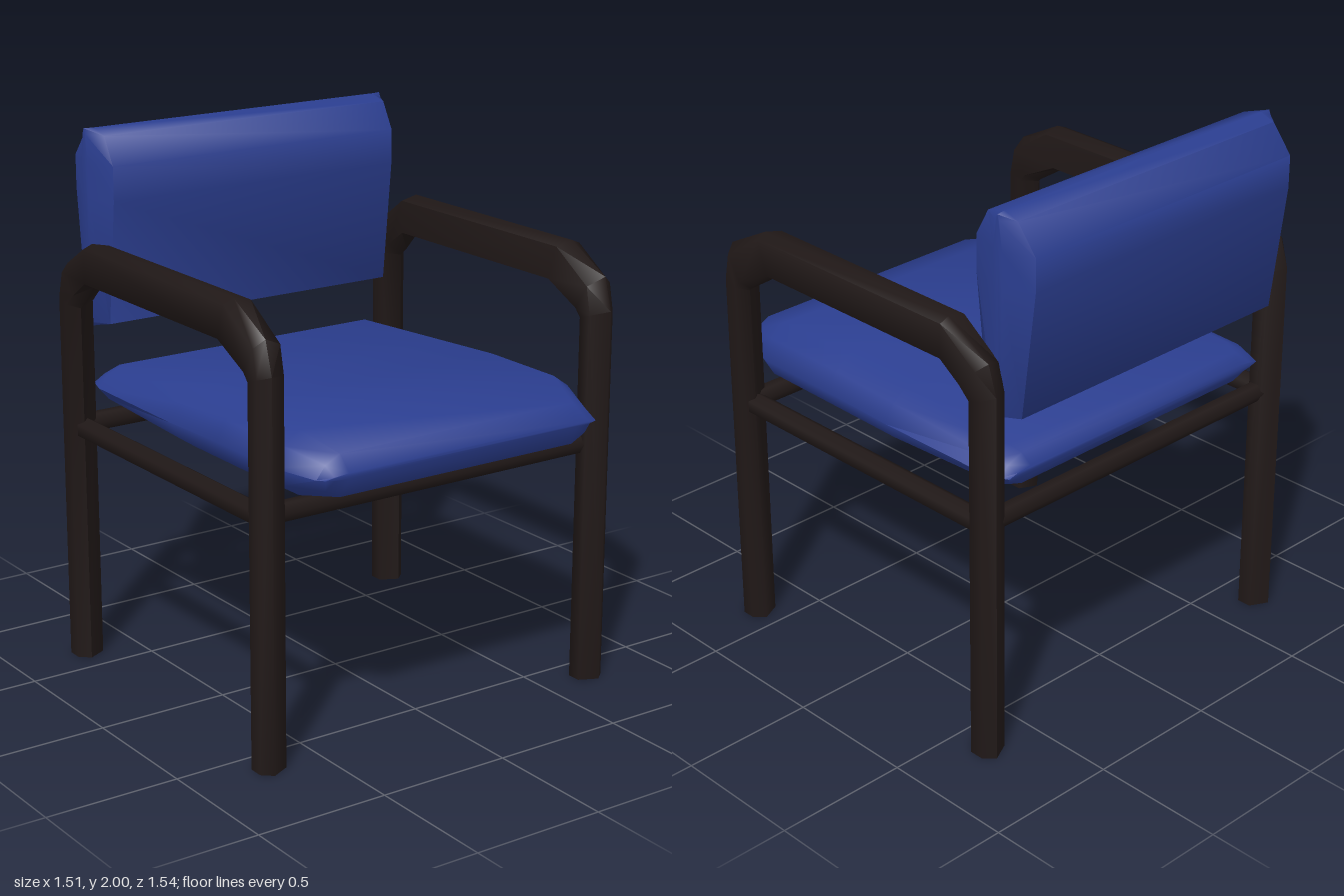
import * as THREE from 'three';
import { toCreasedNormals } from 'three/addons/utils/BufferGeometryUtils.js';

const fabric = new THREE.MeshStandardMaterial({ color: 0x2b3e90 });
const wood = new THREE.MeshStandardMaterial({ color: 0x201817 });

// Skin a list of equal-sized closed rings of [x, y, z], cap both ends, face outward
function loft(rings, crease = 1.2) {
  const n = rings[0].length, pos = rings.flat(), idx = [];
  for (let r = 0; r < rings.length - 1; r++) {
    for (let i = 0; i < n; i++) {
      const a = r * n + i, b = r * n + (i + 1) % n;
      idx.push([a, b, b + n], [a, b + n, a + n]);
    }
  }
  const last = (rings.length - 1) * n;
  for (let i = 1; i < n - 1; i++) {
    idx.push([0, i + 1, i], [last, last + i, last + i + 1]);
  }
  // The signed volume tells whether the winding must be reversed
  const v = pos.map((p) => new THREE.Vector3(...p));
  let volume = 0;
  for (const [a, b, c] of idx) volume += v[a].dot(v[b].clone().cross(v[c]));
  if (volume < 0) idx.forEach((t) => t.reverse());
  const geo = new THREE.BufferGeometry();
  geo.setAttribute('position', new THREE.Float32BufferAttribute(pos.flat(), 3));
  geo.setIndex(idx.flat());
  return toCreasedNormals(geo, crease);
}

function addMesh(parent, name, geometry, material) {
  const mesh = new THREE.Mesh(geometry, material);
  mesh.name = name;
  parent.add(mesh);
  return mesh;
}

// Legs and armrest of one side: a six-sided bar bent into an arch
function sideFrame(side) {
  // outer z, outer y, inner z, inner y, bevel share
  const stations = [
    [0.67, 0, 0.55, 0, 0.28],
    [0.67, 1.40, 0.55, 1.36, 0.28],
    [0.635, 1.52, 0.54, 1.37, 0.2],
    [0.45, 1.617, 0.40, 1.46, 0.1],
    [-0.48, 1.617, -0.475, 1.46, 0.1],
    [-0.665, 1.51, -0.54, 1.39, 0.2],
    [-0.70, 1.40, -0.575, 1.36, 0.28],
    [-0.70, 0, -0.575, 0, 0.28],
  ];
  return loft(stations.map(([zo, yo, zi, yi, t]) => {
    const at = (x, s) => [side * x, yo + (yi - yo) * s, zo + (zi - zo) * s];
    return [at(0.755, t), at(0.717, 0), at(0.648, t), at(0.648, 1 - t), at(0.717, 1), at(0.755, 1 - t)];
  }));
}

// Cushion seat: rounded cross-sections from front to back
function seatGeometry() {
  const half = [[1, 0], [0.94, 0.6], [0.84, 1]];
  const outline = [
    ...half,
    ...half.slice(1).reverse().map(([x, y]) => [-x, y]),
    ...half.map(([x, y]) => [-x, -y]),
    ...half.slice(1).reverse().map(([x, y]) => [x, -y]),
  ].filter(([x, y], i, all) => all.findIndex((p) => p[0] === x && p[1] === y) === i);
  // z, half width, bottom, top
  const stations = [
    [0.77, 0.575, 1.04, 1.06],
    [0.735, 0.59, 0.97, 1.12],
    [0.57, 0.65, 0.94, 1.17],
    [0.22, 0.65, 0.935, 1.17],
    [-0.08, 0.65, 0.935, 1.152],
    [-0.58, 0.65, 0.97, 1.122],
    [-0.63, 0.635, 0.99, 1.105],
    [-0.66, 0.62, 1.03, 1.065],
  ];
  // Ring order runs right edge, over the top, left edge, under the bottom
  const sorted = outline.sort((p, q) => Math.atan2(p[1], p[0]) - Math.atan2(q[1], q[0]));
  return loft(stations.map(([z, w, y0, y1]) =>
    sorted.map(([x, y]) => [x * w, (y0 + y1) / 2 + y * (y1 - y0) / 2, z])));
}

// Back cushion: side profile swept across, pinched to a ridge at each end
function backGeometry() {
  const profile = [
    [-0.63, 2.0], [-0.555, 1.98], [-0.50, 1.88], [-0.50, 1.75], [-0.55, 1.29],
    [-0.63, 1.27], [-0.71, 1.29], [-0.77, 1.76], [-0.77, 1.88], [-0.69, 1.98],
  ];
  const mid = -0.637;
  return loft([[-0.65, 0.15], [-0.612, 1], [0.612, 1], [0.65, 0.15]].map(([x, s]) =>
    profile.map(([z, y]) => [x, y, mid + (z - mid) * s])));
}

export function createModel() {
  const chair = new THREE.Group();
  chair.name = 'armchair';

  for (const [name, side] of [['left', 1], ['right', -1]]) {
    addMesh(chair, name + 'LegsAndArmrest', sideFrame(side), wood);
    // Rail between the front and back leg
    const rail = addMesh(chair, name + 'Rail', new THREE.CylinderGeometry(0.042, 0.042, 1.2, 6), wood);
    rail.rotation.x = Math.PI / 2;
    rail.position.set(side * 0.7, 0.898, -0.01);
  }

  // Rails across the front and back
  for (const [name, z] of [['frontRail', 0.59], ['backRail', -0.635]]) {
    const rail = addMesh(chair, name, new THREE.CylinderGeometry(0.037, 0.037, 1.38, 6), wood);
    rail.rotation.z = Math.PI / 2;
    rail.position.set(0, 0.906, z);
  }

  addMesh(chair, 'seat', seatGeometry(), fabric);
  addMesh(chair, 'backrest', backGeometry(), fabric);
  return chair;
}
